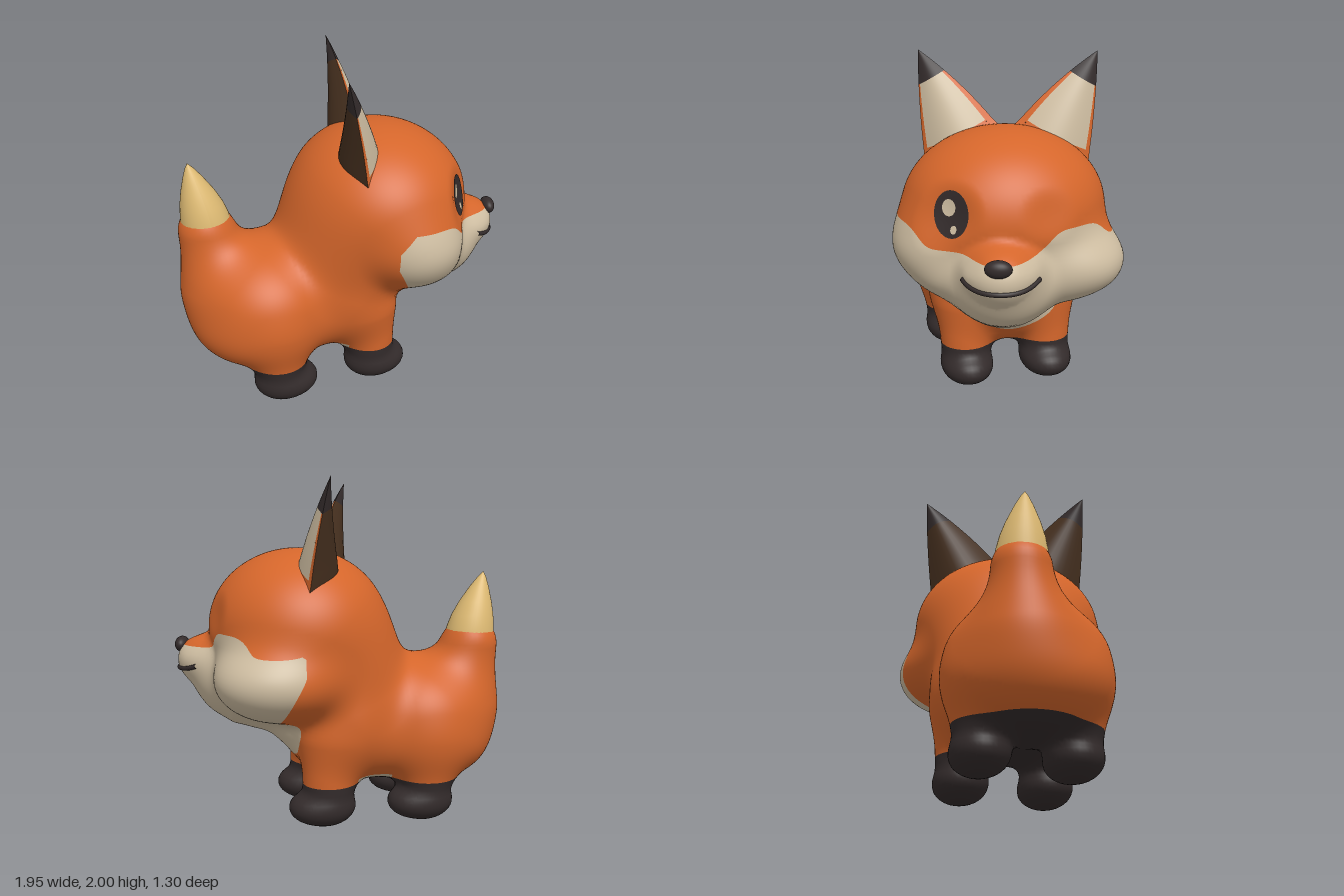
import * as THREE from 'three';

const V = (x, y, z) => new THREE.Vector3(x, y, z);
const mat = (name, color) => {
  const m = new THREE.MeshStandardMaterial({ color, side: THREE.DoubleSide });
  m.name = name;
  return m;
};
const smin = (a, b, k) => Math.min(a, b) - (Math.max(k - Math.abs(a - b), 0) ** 2) / (4 * k);
const lerp = THREE.MathUtils.lerp;

// The head is turned a little: u runs forward, v to the +z side
const COS = 0.963, SIN = 0.27;
const headPoint = (u, y, v) => V(0.28 + u * COS - v * SIN, y, u * SIN + v * COS);

// Distance helpers
const ellipsoid = (c, r) => (x, y, z) => {
  const a = (x - c.x) / r.x, b = (y - c.y) / r.y, d = (z - c.z) / r.z;
  const k0 = Math.hypot(a, b, d), k1 = Math.hypot(a / r.x, b / r.y, d / r.z);
  return k1 < 1e-6 ? -Math.min(r.x, r.y, r.z) : k0 * (k0 - 1) / k1;
};
const limb = (a, b, ra, rb) => {
  const d = b.clone().sub(a), l2 = d.lengthSq();
  return (x, y, z) => {
    const px = x - a.x, py = y - a.y, pz = z - a.z;
    const t = Math.min(1, Math.max(0, (px * d.x + py * d.y + pz * d.z) / l2));
    return Math.hypot(px - t * d.x, py - t * d.y, pz - t * d.z) - lerp(ra, rb, t);
  };
};

// Soft body volumes, each with its blend width
const tailStem = limb(V(-0.765, 0.7, -0.13), V(-0.79, 1.03, -0.15), 0.175, 0.165);
const volumes = [
  [ellipsoid(V(-0.49, 0.6, -0.05), V(0.43, 0.365, 0.46)), 0.1],
  [ellipsoid(V(-0.5, 0.47, -0.05), V(0.445, 0.295, 0.445)), 0.08],
  [ellipsoid(V(-0.02, 0.6, -0.05), V(0.34, 0.4, 0.46)), 0.15],
  [(x, y, z) => Math.max(tailStem(x, y, z), y - 1.13), 0.2],
];
for (const z of [0.205, -0.295]) {
  for (const x of [0.115, -0.48]) {
    volumes.push([limb(V(x, 0.16, z), V(x - 0.02, 0.5, z), 0.148, 0.17), 0.1]);
    volumes.push([ellipsoid(V(x + 0.035, 0.11, z), V(0.195, 0.11, 0.158)), 0.04]);
  }
}
volumes.push(
  [ellipsoid(V(0.0, 0.9, -0.03), V(0.34, 0.33, 0.42)), 0.2],
  [limb(V(0.16, 0.48, -0.05), V(0.39, 0.68, 0), 0.125, 0.17), 0.12],
  [ellipsoid(V(0.24, 1.15, 0), V(0.53, 0.46, 0.585)), 0.2],
  [ellipsoid(headPoint(0.1, 0.86, 0), V(0.38, 0.26, 0.5)), 0.1],
  [ellipsoid(V(0.3, 0.98, 0.42), V(0.25, 0.2, 0.225)), 0.14],
  [ellipsoid(V(0.41, 0.88, -0.34), V(0.35, 0.22, 0.315)), 0.14],
  [limb(headPoint(0.26, 0.84, 0), headPoint(0.55, 0.935, 0), 0.29, 0.125), 0.1],
  [ellipsoid(headPoint(0.5, 0.94, 0), V(0.17, 0.13, 0.2)), 0.08],
  [ellipsoid(headPoint(0.37, 0.83, 0), V(0.21, 0.225, 0.25)), 0.1],
);
// Shallow eye sockets
const sockets = [1, -1].map((side) => ellipsoid(headPoint(0.398 + 0.435 * 1, 1.32, side * 0.475), V(0.5, 0.5, 0.5)));
const dist = (x, y, z) => {
  let d = 9;
  for (const [f, k] of volumes) d = smin(d, f(x, y, z), k);
  for (const f of sockets) d = -smin(-d, f(x, y, z), 0.04);
  return d;
};
const gradient = (p) => {
  const e = 0.004, { x, y, z } = p;
  return V(dist(x + e, y, z) - dist(x - e, y, z), dist(x, y + e, z) - dist(x, y - e, z),
    dist(x, y, z + e) - dist(x, y, z - e)).divideScalar(2 * e);
};
// Slide a point along dir onto the skin, stopping at a small lift
const drop = (p, dir, lift) => {
  const q = p.clone().addScaledVector(dir, 0.3);
  for (let i = 0; i < 40; i++) q.addScaledVector(dir, -0.7 * (dist(q.x, q.y, q.z) - lift));
  return q;
};

// Skin triangles from a regular grid of cells
function skinTriangles() {
  const h = 0.026, n = [79, 66, 57], o = [-1.03, -0.04, -0.74];
  const id = (i, j, k) => (i * n[1] + j) * n[2] + k;
  const val = new Float32Array(n[0] * n[1] * n[2]), cells = new Map(), tris = [];
  const each = (f) => {
    for (let i = 1; i < n[0] - 1; i++) for (let j = 1; j < n[1] - 1; j++) for (let k = 1; k < n[2] - 1; k++) f(i, j, k);
  };
  val.fill(1);
  each((i, j, k) => { val[id(i, j, k)] = dist(o[0] + i * h, o[1] + j * h, o[2] + k * h); });
  const cell = (i, j, k) => {
    const key = id(i, j, k);
    if (!cells.has(key)) {
      const p = V(o[0] + (i + 0.5) * h, o[1] + (j + 0.5) * h, o[2] + (k + 0.5) * h);
      for (let s = 0; s < 3; s++) {
        const g = gradient(p);
        p.addScaledVector(g, -dist(p.x, p.y, p.z) / Math.max(g.lengthSq(), 0.3));
      }
      cells.set(key, p);
    }
    return cells.get(key);
  };
  const steps = [[1, 0, 0], [0, 1, 0], [0, 0, 1]];
  each((i, j, k) => {
    const inside = val[id(i, j, k)] < 0;
    steps.forEach((s, a) => {
      if (inside === (val[id(i + s[0], j + s[1], k + s[2])] < 0)) return;
      const b = steps[(a + 1) % 3], c = steps[(a + 2) % 3];
      const at = (m, l) => cell(i - m * b[0] - l * c[0], j - m * b[1] - l * c[1], k - m * b[2] - l * c[2]);
      const q = [at(0, 0), at(1, 0), at(1, 1), at(0, 1)];
      if (!inside) q.reverse();
      tris.push([q[0], q[1], q[2]], [q[0], q[2], q[3]]);
    });
  });
  return tris;
}

// Cut triangles cleanly along field = 0
function split(tris, field) {
  const sides = [[], []];
  for (const t of tris) {
    const f = t.map(field);
    for (const [n, sign] of [[0, 1], [1, -1]]) {
      const poly = [];
      for (let i = 0; i < 3; i++) {
        const j = (i + 1) % 3;
        if (f[i] * sign >= 0) poly.push(t[i]);
        if (f[i] * f[j] < 0) poly.push(t[i].clone().lerp(t[j], f[i] / (f[i] - f[j])));
      }
      for (let i = 2; i < poly.length; i++) sides[n].push([poly[0], poly[i - 1], poly[i]]);
    }
  }
  return sides;
}
function skinGeometry(tris) {
  const pts = tris.flat();
  const g = new THREE.BufferGeometry().setFromPoints(pts);
  const normals = new Float32Array(pts.length * 3);
  pts.forEach((p, i) => gradient(p).normalize().toArray(normals, i * 3));
  g.setAttribute('normal', new THREE.BufferAttribute(normals, 3));
  return g;
}

// Light fur: face mask, chest bib and a belly strip
const bump = (v, c) => 0.11 * Math.exp(-(((v - c) / 0.16) ** 4));
const lightFur = ({ x, y, z }) => {
  const u = (x - 0.28) * COS + z * SIN, v = -(x - 0.28) * SIN + z * COS;
  const back = -0.08 + 0.13 * v + 0.53 * Math.max(0, 0.93 - y) + 0.9 * Math.max(0, y - 1.04);
  const face = Math.min(u - back, 1.03 + bump(v, 0.6) + bump(v, -0.4) - y, y - 0.5);
  const bib = Math.min(0.27 * (1 - Math.hypot((z + 0.06) / 0.28, (y - 0.6) / 0.22)), x - 0.1);
  const belly = Math.min(0.285 - y, 0.11 - Math.abs(x + 0.16));
  return Math.max(face, bib, belly);
};

// Grid surface over s, t in 0..1
function patch(fn, ns, nt) {
  const g = new THREE.PlaneGeometry(1, 1, ns, nt), p = g.attributes.position;
  for (let i = 0; i < p.count; i++) {
    const q = fn(p.getX(i) + 0.5, p.getY(i) + 0.5);
    p.setXYZ(i, q.x, q.y, q.z);
  }
  g.computeVertexNormals();
  return g;
}

export function createModel() {
  const model = new THREE.Group();
  const orange = mat('orange fur', 0xd5662b), cream = mat('cream fur', 0xcfbea2);
  const dark = mat('dark fur', 0x332b2b), tan = mat('tan tail tip', 0xe0bc74), brown = mat('brown ear back', 0x46301f);
  const add = (name, geometry, material) => {
    const m = new THREE.Mesh(geometry, material);
    m.name = name;
    model.add(m);
    return m;
  };

  // Body, head, legs and tail stem as one skin, cut by colour
  const [upper, lower] = split(skinTriangles(), (p) => p.y - 0.255);
  const [pale, rest] = split(upper, lightFur);
  add('bodyFur', skinGeometry(rest), orange);
  add('faceAndChestFur', skinGeometry(pale), cream);
  add('feetAndBelly', skinGeometry(lower), dark);

  // Tail tip, leaning back
  const tip = new THREE.LatheGeometry([[0.146, -0.01], [0.141, 0.04], [0.125, 0.11], [0.097, 0.19], [0.056, 0.28], [0.023, 0.34], [0, 0.37]]
    .map((q) => new THREE.Vector2(...q)), 40);
  const tp = tip.attributes.position;
  for (let i = 0; i < tp.count; i++) tp.setX(i, tp.getX(i) - 0.08 * (Math.max(0, tp.getY(i)) / 0.37) ** 1.3);
  tip.computeVertexNormals();
  add('tailTip', tip, tan).position.set(-0.79, 1.095, -0.15);

  // Ears: s runs from outer to inner edge, t from base to tip
  for (const side of [1, -1]) {
    const ear = (bulge) => (s, t) => {
      const v = lerp(lerp(0.48, 0.515, t), lerp(0.077, 0.515, t), s);
      const y = lerp(lerp(1.42, 2, t), lerp(1.62, 2, t), s);
      const swell = Math.sin(Math.PI * s) * (1 - t), arc = t > 0 ? t * (1 - t) : 0;
      const u = lerp(-0.17, -0.28, t) + bulge * swell + 0.03 * arc;
      return headPoint(u, y + 0.08 * arc * s, side * (v + 0.06 * arc * (0.5 - s)));
    };
    const part = (name, bulge, s0, s1, t0, t1, m) =>
      add(name, patch((s, t) => ear(bulge)(lerp(s0, s1, s), lerp(t0, t1, t)), 12, 14), m);
    const cut = 0.66;
    part('earInner', 0.095, 0.06, 0.92, 0.03, cut, cream);
    part('earOuterRim', 0.095, 0, 0.06, -0.15, cut, orange);
    part('earInnerRim', 0.095, 0.92, 1, -0.15, cut, orange);
    part('earFoot', 0.095, 0.06, 0.92, -0.15, 0.03, orange);
    part('earTip', 0.095, 0, 1, cut, 1, dark);
    part('earBack', -0.13, 0, 1, -0.15, cut, brown);
    part('earTipBack', -0.13, 0, 1, cut, 1, dark);
  }

  // Eye and its highlights, laid thinly on the skin
  const out = V(0.74, 0.19, 0.64).normalize();
  const across = V(0, 1, 0).cross(out).normalize(), up = out.clone().cross(across);
  const spot = (name, cx, cy, rx, ry, tilt, lift, m) => add(name, patch((s, t) => {
    const a = s * Math.PI * 2, ex = Math.cos(a) * rx * t, ey = Math.sin(a) * ry * t;
    const p = V(0.6, 1.225, 0.37).addScaledVector(across, cx + ex * Math.cos(tilt) - ey * Math.sin(tilt))
      .addScaledVector(up, cy + ex * Math.sin(tilt) + ey * Math.cos(tilt));
    return drop(p, out, lift);
  }, 36, 6), m);
  spot('eye', 0, 0, 0.105, 0.128, 0.15, 0.005, dark);
  spot('eyeHighlight', -0.02, 0.033, 0.04, 0.046, 0, 0.009, cream);
  spot('eyeSmallHighlight', 0.022, -0.08, 0.019, 0.023, 0, 0.009, cream);

  // Nose and mouth
  const nose = add('nose', new THREE.SphereGeometry(1, 28, 20), dark);
  nose.scale.set(0.042, 0.048, 0.072);
  nose.position.set(0.925, 1.025, 0.19);
  nose.rotation.y = -0.27;
  const forward = headPoint(1, 0, 0).sub(headPoint(0, 0, 0));
  const lips = [];
  for (let i = -8; i <= 8; i++) {
    const w = i / 8;
    lips.push(drop(headPoint(0.5, 0.892 + 0.033 * w ** 4, 0.2 * w), forward, 0));
  }
  add('mouth', new THREE.TubeGeometry(new THREE.CatmullRomCurve3(lips), 48, 0.014, 8), dark);
  return model;
}
